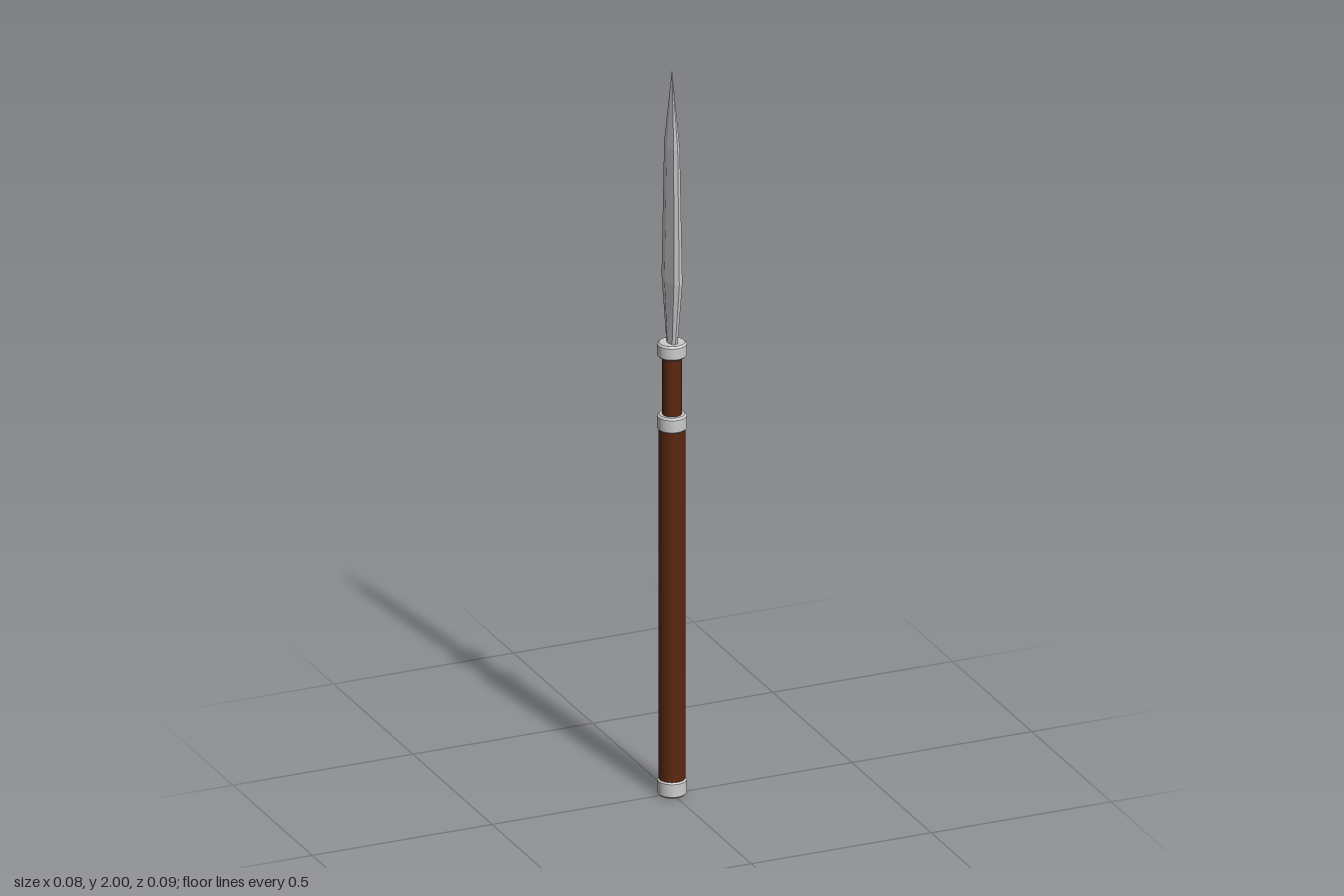
import * as THREE from 'three';
import { toCreasedNormals } from 'three/addons/utils/BufferGeometryUtils.js';

const metal = new THREE.MeshStandardMaterial({ color: 0xcccccc });
const bladeMetal = new THREE.MeshStandardMaterial({ color: 0xcccccc, flatShading: true });
const wood = new THREE.MeshStandardMaterial({ color: 0x5a2810 });

function addMesh(group, name, geometry, material) {
  const mesh = new THREE.Mesh(geometry, material);
  mesh.name = name;
  group.add(mesh);
}

// Wooden rod between two heights
function rod(radius, y0, y1) {
  return new THREE.CylinderGeometry(radius, radius, y1 - y0, 32).translate(0, (y0 + y1) / 2, 0);
}

// Closed metal band with small bevels on both rims
function band(y0, y1, radius = 0.038, bevel = 0.005) {
  const profile = [
    [0, y0], [radius - bevel, y0], [radius, y0 + bevel],
    [radius, y1 - bevel], [radius - bevel, y1], [0, y1],
  ].map(([r, y]) => new THREE.Vector2(r, y));
  return toCreasedNormals(new THREE.LatheGeometry(profile, 32), 0.6);
}

// Eight-sided blade: ridge along x, bevelled cutting edges along z
function blade() {
  // From tip to base: height, half thickness, half width
  const rows = [
    [2.0, 0, 0],
    [1.79, 0.015, 0.036],
    [1.42, 0.021, 0.046],
    [1.235, 0.013, 0.02],
  ];
  const sides = 8;
  const geometry = new THREE.CylinderGeometry(0, 1, 1, sides, rows.length - 1, true);
  const pos = geometry.attributes.position;
  for (let i = 0; i < pos.count; i++) {
    const [y, thickness, width] = rows[Math.floor(i / (sides + 1))];
    const side = i % (sides + 1);
    const angle = (side / sides) * Math.PI * 2;
    const corner = side % 2 === 1;
    const x = corner ? Math.sign(Math.sin(angle)) * 0.57 : Math.round(Math.sin(angle));
    const z = corner ? Math.sign(Math.cos(angle)) * 0.84 : Math.round(Math.cos(angle));
    pos.setXYZ(i, x * thickness, y, z * width);
  }
  geometry.computeVertexNormals();
  return geometry;
}

export function createModel() {
  const spear = new THREE.Group();
  spear.name = 'spear';

  // Shaft: thick grip below, thin neck above
  addMesh(spear, 'lowerShaft', rod(0.034, 0.02, 1.03), wood);
  addMesh(spear, 'upperShaft', rod(0.025, 1.03, 1.23), wood);

  // Metal fittings
  addMesh(spear, 'buttCap', band(0, 0.045), metal);
  addMesh(spear, 'middleBand', band(1.007, 1.05), metal);
  addMesh(spear, 'bladeCollar', band(1.208, 1.248), metal);

  addMesh(spear, 'blade', blade(), bladeMetal);
  return spear;
}
